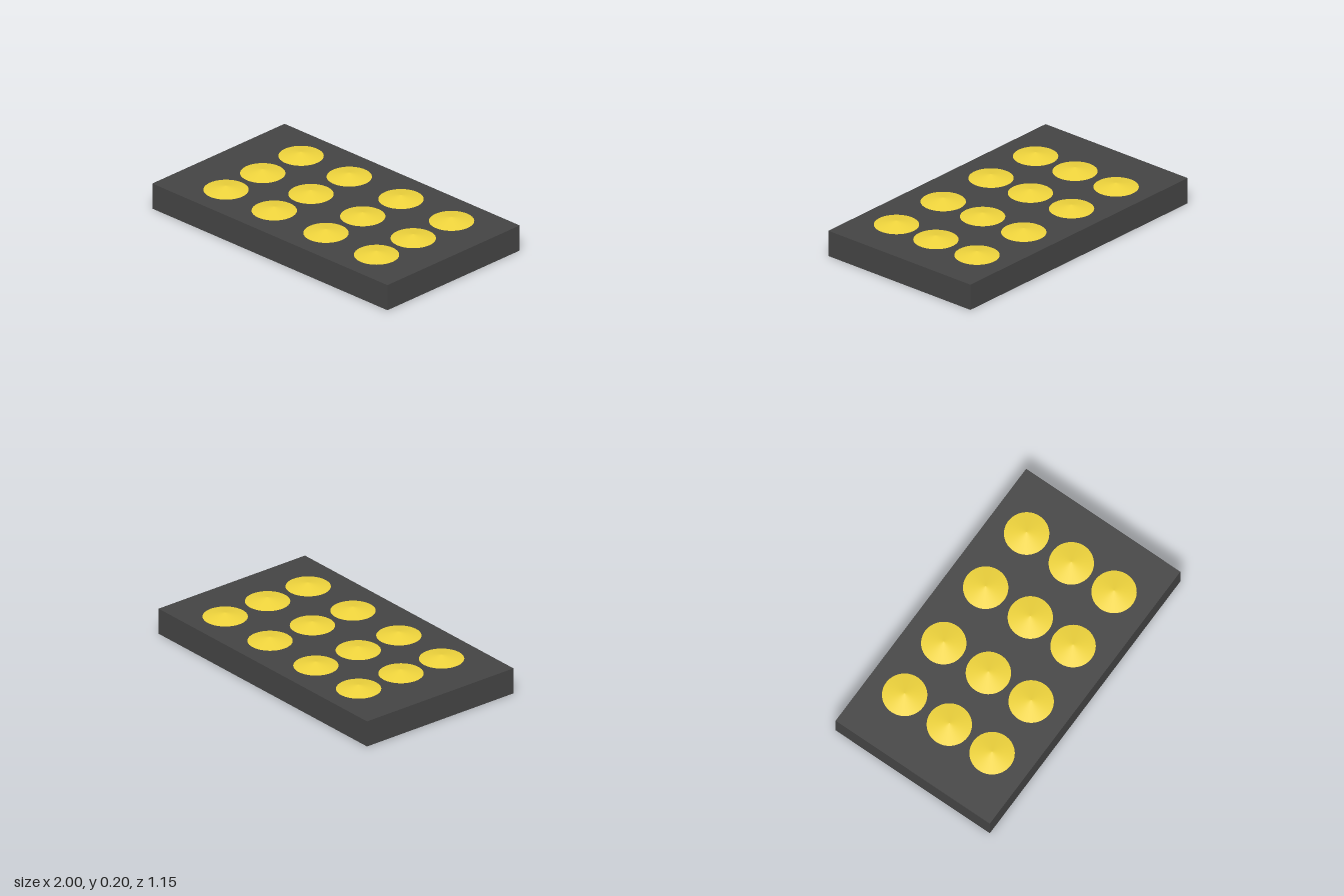
import * as THREE from 'three';

export function createModel() {
  const model = new THREE.Group();
  const dark = new THREE.MeshStandardMaterial({ color: 0x444444 });
  const yellow = new THREE.MeshStandardMaterial({ color: 0xeed33c });

  // Flat rectangular slab
  const height = 0.17;
  const slab = new THREE.Mesh(new THREE.BoxGeometry(2, height, 1.15), dark);
  slab.name = 'slab';
  slab.position.y = height / 2;
  model.add(slab);

  // Grid of shallow conical studs on the top face
  const rise = 0.028;
  const cone = new THREE.ConeGeometry(0.138, rise, 64);
  const studs = new THREE.Group();
  studs.name = 'studs';
  for (const z of [-0.33, 0.003, 0.322]) {
    for (const x of [-0.62, -0.21, 0.23, 0.66]) {
      const stud = new THREE.Mesh(cone, yellow);
      stud.name = 'stud';
      stud.position.set(x, height + rise / 2, z);
      studs.add(stud);
    }
  }
  model.add(studs);

  return model;
}
